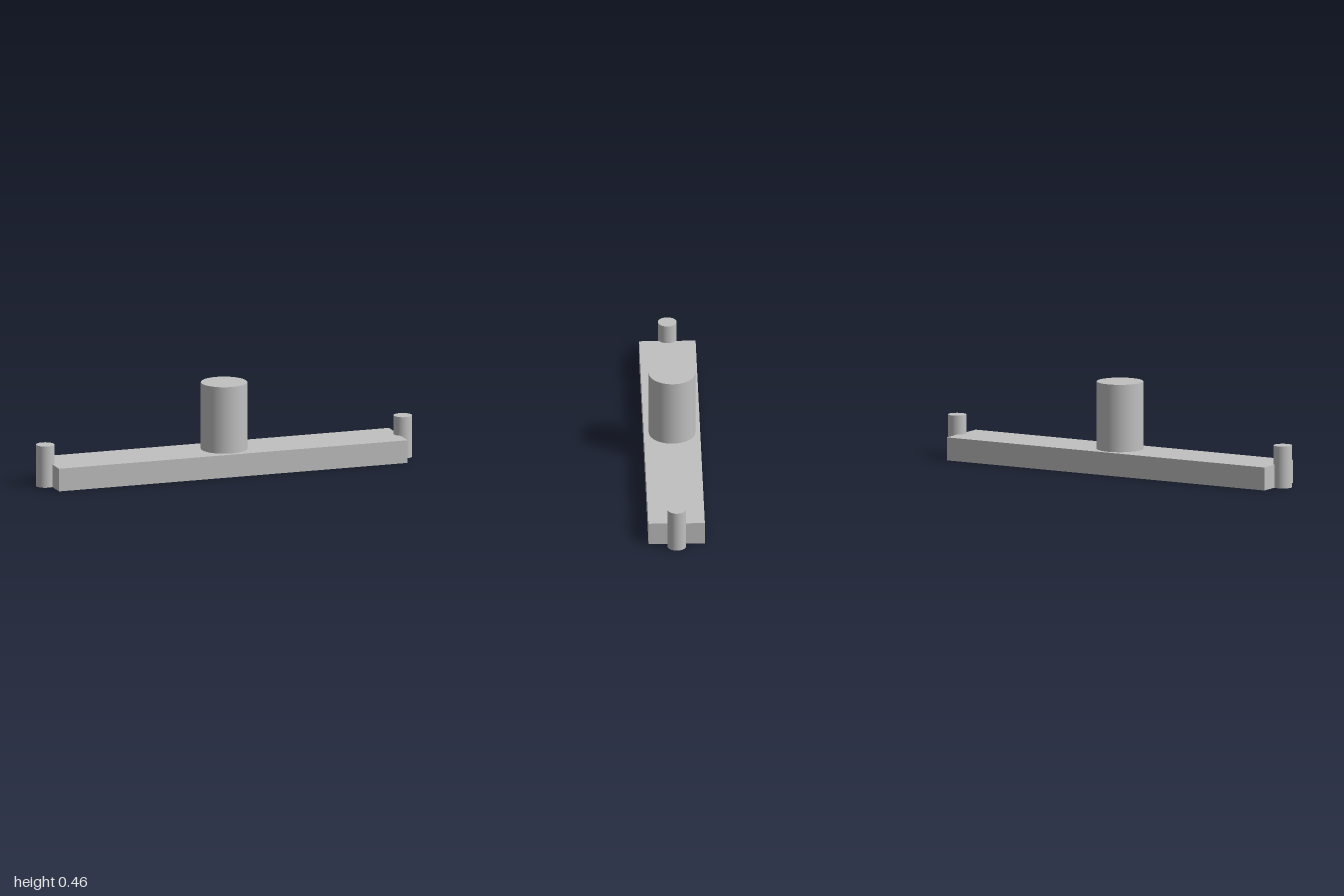
import * as THREE from 'three';

export function createModel() {
  const model = new THREE.Group();
  const grey = new THREE.MeshStandardMaterial({ color: 0xc0c0c0 });
  grey.name = 'plain grey';

  const add = (name, geometry, x, y) => {
    const mesh = new THREE.Mesh(geometry, grey);
    mesh.name = name;
    mesh.position.set(x, y, 0);
    model.add(mesh);
  };

  // Upright round part standing between two heights
  const addPost = (name, radius, bottom, top, x) =>
    add(name, new THREE.CylinderGeometry(radius, radius, top - bottom, 64), x, (bottom + top) / 2);

  // Long flat bar
  const barHeight = 0.117;
  add('bar', new THREE.BoxGeometry(1.858, barHeight, 0.284), 0, barHeight / 2);

  // Central post on the bar
  addPost('centrePost', 0.117, barHeight, 0.46, 0);

  // Pins half sunk into both ends of the bar
  addPost('leftPin', 0.047, 0, 0.213, 0.953);
  addPost('rightPin', 0.047, 0, 0.213, -0.953);

  return model;
}
